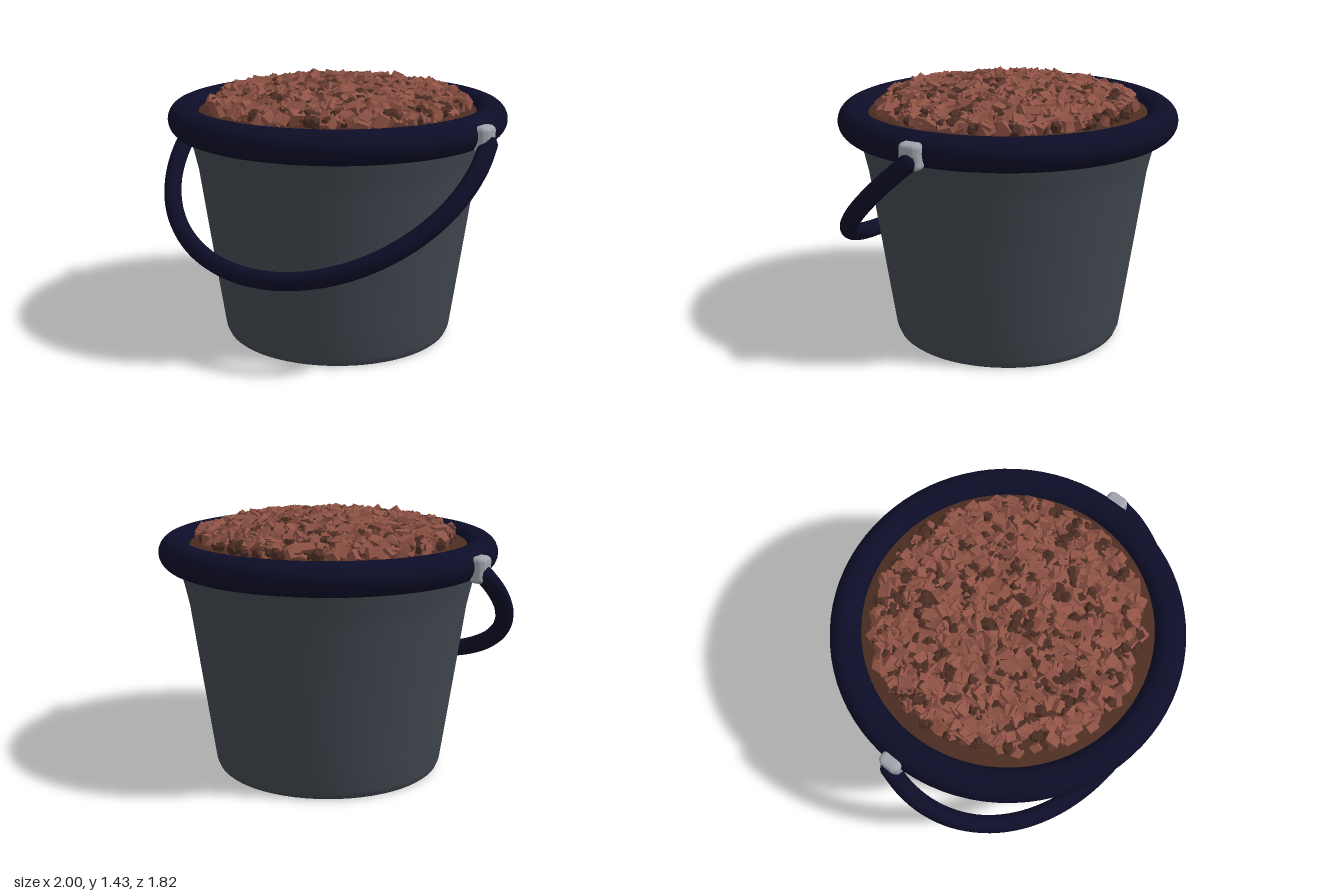
import * as THREE from 'three';
import { mergeGeometries } from 'three/addons/utils/BufferGeometryUtils.js';
import { RoundedBoxGeometry } from 'three/addons/geometries/RoundedBoxGeometry.js';

function material(name, color) {
  const m = new THREE.MeshStandardMaterial({ color });
  m.name = name;
  return m;
}

function seeded(seed) {
  return () => {
    seed = (seed * 1664525 + 1013904223) % 4294967296;
    return seed / 4294967296;
  };
}

const v2 = (pairs) => pairs.map(([x, y]) => new THREE.Vector2(x, y));

// Height of the heaped soil at distance r from the middle
const heapHeight = (r) => 1.262 + 0.1 * (1 - (r / 0.74) ** 2);

// A slightly crooked block with flat faces
function blockChunk(rand) {
  const g = new THREE.BoxGeometry(1, 0.85, 1);
  const corners = Array.from({ length: 8 }, () => 0.82 + rand() * 0.36);
  const p = g.attributes.position;
  for (let i = 0; i < p.count; i++) {
    const k = (p.getX(i) > 0 ? 1 : 0) + (p.getY(i) > 0 ? 2 : 0) + (p.getZ(i) > 0 ? 4 : 0);
    p.setXYZ(i, p.getX(i) * corners[k], p.getY(i) * corners[k], p.getZ(i) * corners[k]);
  }
  const flat = g.toNonIndexed();
  flat.computeVertexNormals();
  return flat;
}

// Chunks scattered evenly over the heap, merged into one geometry
function scatter(count, minSize, maxSize, makeChunk, rand) {
  const parts = [];
  const q = new THREE.Quaternion();
  const e = new THREE.Euler();
  for (let i = 0; i < count; i++) {
    const r = 0.675 * Math.sqrt(rand());
    const a = rand() * Math.PI * 2;
    const s = minSize + rand() * (maxSize - minSize);
    e.set(rand() * 6.28, rand() * 6.28, rand() * 6.28);
    const m = new THREE.Matrix4().compose(
      new THREE.Vector3(r * Math.cos(a), heapHeight(r) + rand() * 0.018, r * Math.sin(a)),
      q.setFromEuler(e),
      new THREE.Vector3(s, s, s)
    );
    parts.push(makeChunk(rand).applyMatrix4(m));
  }
  return mergeGeometries(parts);
}

export function createModel() {
  const group = new THREE.Group();
  const grey = material('bucketGrey', 0x41474f);
  const navy = material('rimNavy', 0x0d0d28);
  const silver = material('clipSilver', 0xa0a3ab);
  const soil = material('soilBrown', 0x4c2d21);
  const reddish = material('chunkRedBrown', 0x8f5345);
  const dark = material('chunkDarkBrown', 0x4b2d23);

  const add = (name, geometry, mat) => {
    const mesh = new THREE.Mesh(geometry, mat);
    mesh.name = name;
    group.add(mesh);
    return mesh;
  };

  // Tapered bucket wall with a flared top
  add('bucketWall', new THREE.LatheGeometry(v2([
    [0.6, 0], [0.612, 0.01], [0.627, 0.045], [0.65, 0.2], [0.705, 0.58],
    [0.755, 0.93], [0.775, 1.02], [0.8, 1.12], [0.815, 1.2],
  ]), 64), grey);
  add('bucketBase', new THREE.CircleGeometry(0.6, 64).rotateX(Math.PI / 2), grey);

  // Thick rolled rim
  const rim = add('rim', new THREE.TorusGeometry(0.825, 0.087, 24, 80).rotateX(Math.PI / 2), navy);
  rim.position.y = 1.21;

  // Carrying handle: an elliptical arc swung down to the front
  const arc = [];
  for (let i = 0; i <= 24; i++) {
    const t = 0.19 - (i / 24) * (Math.PI + 0.38);
    const y = 1.06 + 0.565 * Math.sin(t);
    arc.push(new THREE.Vector3(0.952 * Math.cos(t), y, (1.17 - y) * 1.14));
  }
  add('handle', new THREE.TubeGeometry(new THREE.CatmullRomCurve3(arc), 72, 0.048, 16), navy);

  // Handle ends and the clips that hold them on the rim
  for (const side of [1, -1]) {
    const cap = add('handleEnd', new THREE.SphereGeometry(0.048, 16, 12), navy);
    cap.position.copy(side > 0 ? arc[0] : arc[24]);
    const clip = add('handleClip', new RoundedBoxGeometry(0.075, 0.135, 0.118, 4, 0.026), silver);
    clip.position.set(side * 0.912, 1.195, 0.002);
    // Outer shoulder covering the end of the handle
    const shoulder = add('clipShoulder', new RoundedBoxGeometry(0.05, 0.075, 0.1, 4, 0.022), silver);
    shoulder.position.set(side * 0.93, 1.222, 0.002);
  }

  // Heaped soil and the loose chunks on top
  const heap = [];
  for (let i = 0; i <= 10; i++) {
    const r = 0.77 * (1 - i / 10);
    heap.push([r, heapHeight(r) - 0.012]);
  }
  add('soilHeap', new THREE.LatheGeometry(v2(heap), 64), soil);
  const rand = seeded(17);
  add('reddishChunks', scatter(950, 0.042, 0.07, blockChunk, rand), reddish);
  add('darkChunks', scatter(480, 0.025, 0.04, () => new THREE.DodecahedronGeometry(1), rand), dark);

  return group;
}
